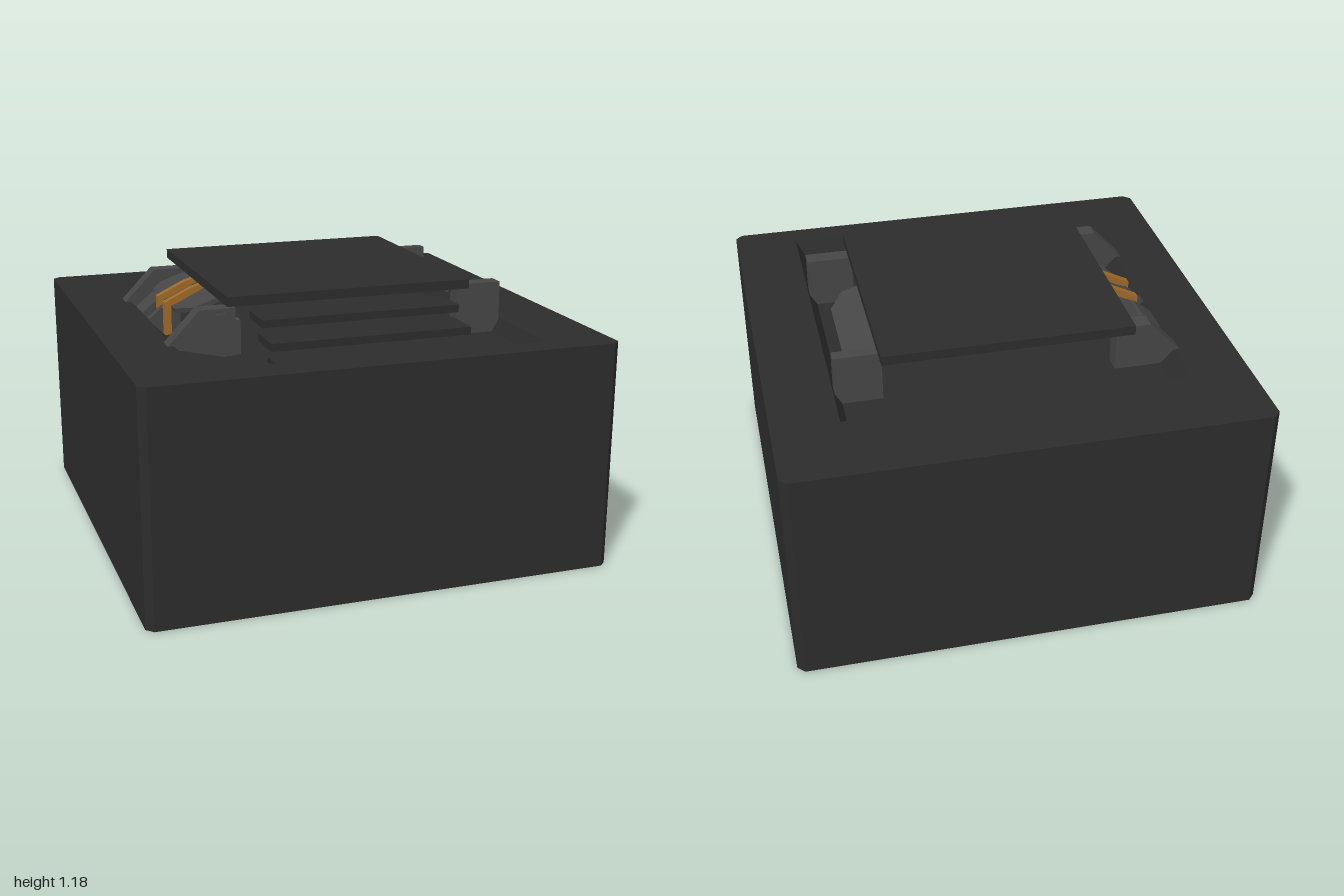
import * as THREE from 'three';

export function createModel() {
  const root = new THREE.Group();
  const mat = (name, hex) => {
    const m = new THREE.MeshStandardMaterial({ color: hex, side: THREE.DoubleSide, flatShading: true });
    m.name = name;
    return m;
  };
  const dark = mat('charcoal', 0x2c2c2c);
  const grey = mat('midGrey', 0x464646);
  const copper = mat('copper', 0xa06a28);

  const add = (name, geo, material, parent = root) => {
    const m = new THREE.Mesh(geo, material);
    m.name = name;
    parent.add(m);
    return m;
  };
  // box from its limits on each axis
  const box = (name, [x0, x1], [y0, y1], [z0, z1], material) => {
    const m = add(name, new THREE.BoxGeometry(x1 - x0, y1 - y0, z1 - z0), material);
    m.position.set((x0 + x1) / 2, (y0 + y1) / 2, (z0 + z1) / 2);
    return m;
  };
  // side profile in x,y extruded between two z values
  const profile = (name, pts, z0, z1, material) => {
    const shape = new THREE.Shape(pts.map(p => new THREE.Vector2(...p)));
    const g = new THREE.ExtrudeGeometry(shape, { depth: z1 - z0, bevelEnabled: false });
    g.translate(0, 0, z0);
    return add(name, g, material);
  };
  // band of quads joining two x,z outlines at two heights
  const band = (a, ya, b, yb) => {
    const v = [];
    a.forEach((p, i) => {
      const j = (i + 1) % a.length;
      const A = [p[0], ya, p[1]], B = [a[j][0], ya, a[j][1]];
      const C = [b[j][0], yb, b[j][1]], D = [b[i][0], yb, b[i][1]];
      v.push(...A, ...B, ...C, ...A, ...C, ...D);
    });
    const g = new THREE.BufferGeometry();
    g.setAttribute('position', new THREE.Float32BufferAttribute(v, 3));
    g.computeVertexNormals();
    return g;
  };
  // flat horizontal face from an x,z outline, with an optional hole
  const plate = (pts, y, hole) => {
    const flip = list => list.map(p => new THREE.Vector2(p[0], -p[1]));
    const s = new THREE.Shape(flip(pts));
    if (hole) s.holes.push(new THREE.Path(flip(hole)));
    return new THREE.ShapeGeometry(s).rotateX(-Math.PI / 2).translate(0, y, 0);
  };

  // open-bottomed housing with a shallow sloped recess in its top
  const c = 0.97, top = 0.98, floor = 0.92;
  const outer = [[-c, 1], [c, 1], [1, c], [1, -c], [c, -1], [-c, -1], [-1, -c], [-1, c]];
  const rim = [[-0.4, 0.885], [0.72, 0.885], [0.72, -0.65], [-0.74, -0.65], [-0.74, 0.535]];
  const inner = [[-0.36, 0.855], [0.685, 0.855], [0.685, -0.61], [-0.685, -0.61], [-0.685, 0.53]];
  add('housingWalls', band(outer, 0, outer, top), dark);
  add('housingTop', plate(outer, top, rim), dark);
  add('recessWalls', band(inner, floor, rim, top).scale(1, 1, 1), dark);
  add('recessFloor', plate(inner, floor), dark);

  // square cover
  box('cover', [-0.53, 0.53], [1.14, 1.18], [-0.53, 0.53], dark);

  // three stepped slats at the front
  [[1.075, 0.485, 0.66], [1.01, 0.61, 0.785], [0.945, 0.73, 0.88]].forEach(([y, z0, z1]) =>
    box('slat', [-0.425, 0.425], [y, y + 0.032], [z0, z1], dark));

  // upright posts on the left side
  box('leftFrontPost', [0.515, 0.715], [floor, 1.14], [0.375, 0.447], grey);
  box('leftBackPost', [0.515, 0.715], [floor, 1.14], [-0.44, -0.388], grey);

  // sloped brackets on the right side
  const bracket = [[-0.74, floor], [-0.48, floor], [-0.48, 1.12], [-0.63, 1.12], [-0.77, 0.975]];
  profile('rightFrontBracket', bracket, 0.395, 0.47, grey);
  profile('rightBackBracket', bracket, -0.44, -0.365, grey);
  box('bracketRib', [-0.565, -0.525], [floor, 1.1], [0.4, 0.485], grey);
  box('bracketFoot', [-0.48, -0.455], [floor, 1.065], [0.41, 0.455], grey);

  // small wedge blocks beside the contacts
  const wedge = [[-0.74, floor], [-0.6, floor], [-0.6, 1.05], [-0.66, 1.05], [-0.74, 0.985]];
  profile('wideWedge', wedge, -0.25, -0.12, grey);
  profile('narrowWedge', wedge, -0.025, 0.01, grey);

  // tilted wings, one on each side
  const wing = [[0, -0.205], [0.115, -0.205], [0.18, -0.105], [0.18, 0.3], [0.115, 0.38], [0, 0.38]];
  for (const s of [1, -1]) {
    const shape = new THREE.Shape(wing.map(p => new THREE.Vector2(s * p[0], p[1])));
    const g = new THREE.ExtrudeGeometry(shape, { depth: 0.02, bevelEnabled: false });
    g.rotateX(-Math.PI / 2).rotateZ(-s * 0.33);
    add(s > 0 ? 'leftWing' : 'rightWing', g, grey).position.set(s * 0.475, 1.087, 0);
  }

  // bent copper contacts
  const contact = [[-0.68, floor], [-0.65, floor], [-0.65, 1.045], [-0.5, 1.118],
    [-0.5, 1.138], [-0.56, 1.12], [-0.68, 1.062]];
  for (const z of [0.035, -0.095]) profile('contact', contact, z - 0.017, z + 0.017, copper);

  return root;
}
